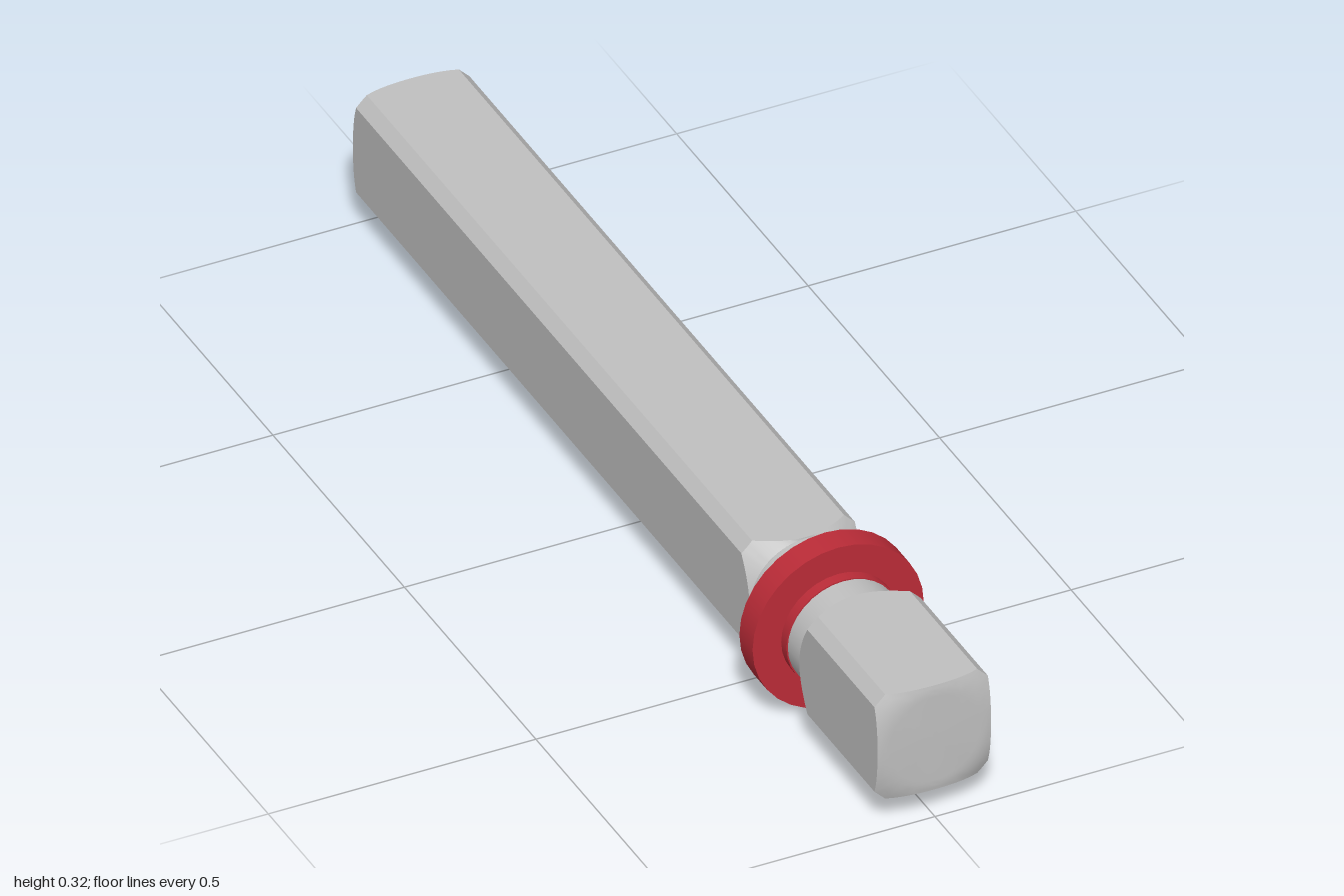
import * as THREE from 'three';
import { toCreasedNormals } from 'three/addons/utils/BufferGeometryUtils.js';

const AXIS_Y = 0.16, HALF = 0.106, FLAT = 0.086, NECK = 0.104;

// Chamfered square outline, counter-clockwise, subdivided so the ends can curve
function outline() {
  const pts = [];
  for (let k = 0; k < 4; k++) {
    const turn = (x, y) => new THREE.Vector2(x, y).rotateAround(new THREE.Vector2(), k * Math.PI / 2);
    for (let i = 0; i < 12; i++) pts.push(turn(HALF, -FLAT + 2 * FLAT * i / 12));
    for (let i = 0; i < 3; i++) {
      const t = i / 3 * (HALF - FLAT);
      pts.push(turn(HALF - t, FLAT + t));
    }
  }
  return pts;
}

// Square bar along +z: domed outer end, conically turned inner end
function barGeometry(zInner, zOuter) {
  const pts = outline(), n = pts.length, discR = 0.085, domeR = 0.1;
  const dome = r => zOuter - (domeR - Math.sqrt(domeR ** 2 - Math.max(0, r - discR) ** 2));
  const rings = [() => [0, zOuter]];
  for (const t of [0, 0.25, 0.5, 0.75, 1]) {
    rings.push(r => {
      const q = discR + (r - discR) * t;
      return [q, dome(q)];
    });
  }
  rings.push(r => [r, zInner + r - HALF]);
  rings.push(() => [NECK, zInner]);
  rings.push(() => [0, zInner]);

  const pos = [], index = [];
  for (const ring of rings) {
    for (const p of pts) {
      const r = p.length(), [q, z] = ring(r);
      pos.push(p.x / r * q, p.y / r * q, z);
    }
  }
  for (let j = 0; j < rings.length - 1; j++) {
    for (let i = 0; i < n; i++) {
      const a = j * n + i, a2 = j * n + (i + 1) % n;
      if (j < rings.length - 2) index.push(a, a + n, a2 + n);
      else index.push(a, a + n, a2);
      if (j > 0 && j < rings.length - 2) index.push(a, a2 + n, a2);
    }
  }
  const g = new THREE.BufferGeometry();
  g.setAttribute('position', new THREE.Float32BufferAttribute(pos, 3));
  g.setIndex(index);
  return toCreasedNormals(g, 0.35);
}

export function createModel() {
  const steel = new THREE.MeshStandardMaterial({ color: 0xc0c0c0 });
  steel.name = 'steel grey';
  const red = new THREE.MeshStandardMaterial({ color: 0xbc2c38 });
  red.name = 'red';

  const model = new THREE.Group();
  model.name = 'squareSpindle';
  const add = (name, geometry, material) => {
    const mesh = new THREE.Mesh(geometry, material);
    mesh.name = name;
    mesh.position.y = AXIS_Y;
    model.add(mesh);
    return mesh;
  };
  const disc = (r, z0, z1) =>
    new THREE.CylinderGeometry(r, r, z1 - z0, 32).rotateX(Math.PI / 2).translate(0, 0, (z0 + z1) / 2);

  // Short front bar and long rear bar
  add('frontBar', barGeometry(0.70, 1), steel);
  add('rearBar', barGeometry(-0.51, 1), steel).rotation.y = Math.PI;

  // Round neck joining the two bars
  add('neck', disc(NECK, 0.505, 0.705), steel);

  // Red sleeve with its wide flange
  add('collarSleeve', disc(0.1065, 0.56, 0.652), red);
  add('collarFlange', disc(0.16, 0.582, 0.632), red);

  return model;
}
